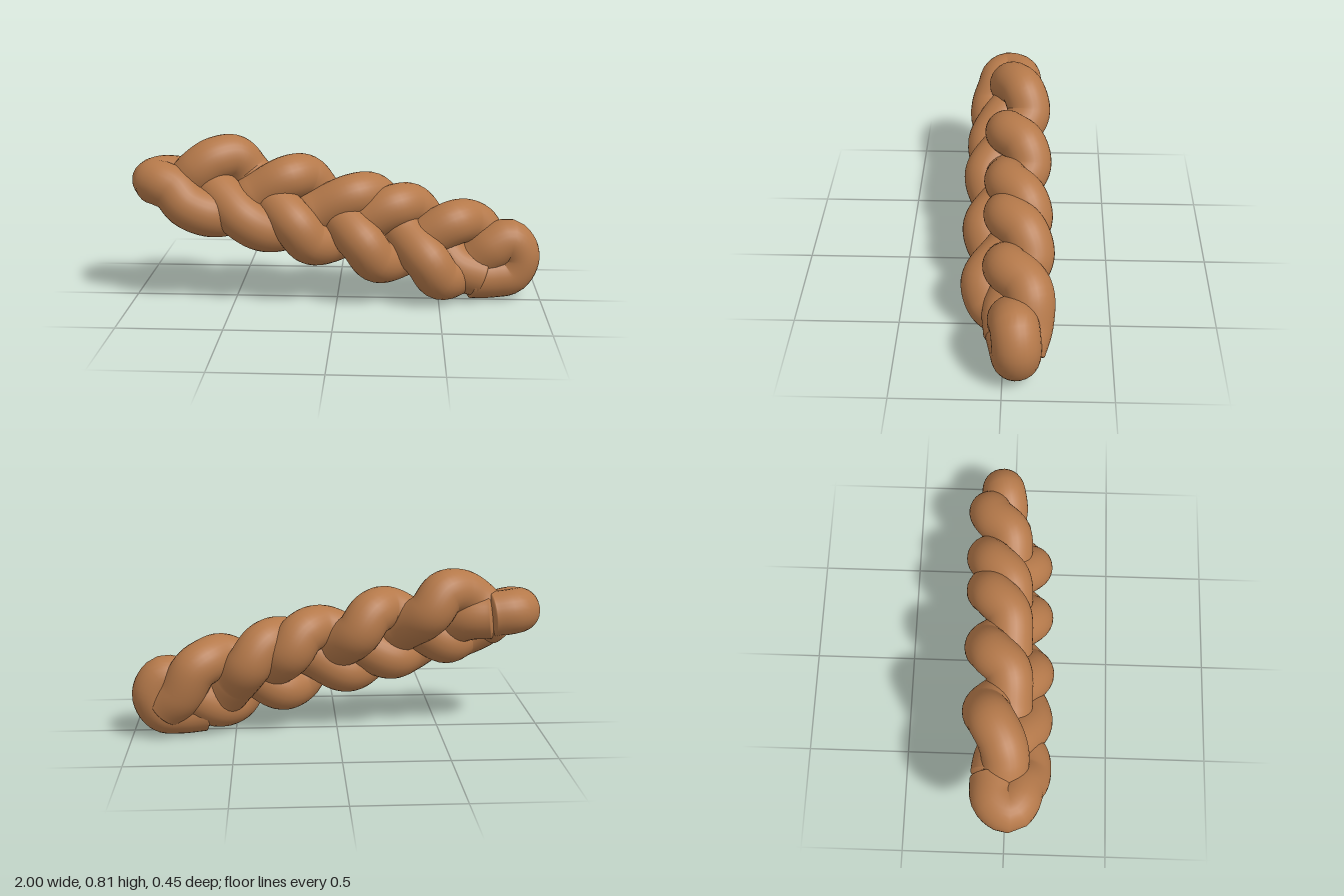
import * as THREE from 'three';

const RADIUS = 0.11;
const WIDTH = 0.16;   // sideways swing of a strand
const DEPTH = 0.056;  // over-and-under swing of a strand
const TILT = Math.PI / 6;

// Point in the sloping, tilted cross-section of the braid
function braidPoint(x, w, d) {
  const c = Math.cos(TILT), s = Math.sin(TILT);
  return new THREE.Vector3(x, 0.41 - 0.275 * x + c * w + s * d, -s * w + c * d - 0.022 * x);
}

// Weave through alternating crests (+1) and troughs (-1) at the given x positions;
// each half turn leaves on the back and arrives on the front, rolling steeply over the edge
function weave(turns, firstSide) {
  const points = [];
  let side = firstSide;
  turns.forEach((x, i) => {
    points.push(braidPoint(x, side * WIDTH, 0));
    if (i < turns.length - 1) {
      for (const [along, w, d] of [[0.19, 0.7, -1], [0.5, 0, 0], [0.82, -0.7, 1]]) {
        points.push(braidPoint(THREE.MathUtils.lerp(x, turns[i + 1], along), side * WIDTH * w, DEPTH * d));
      }
    }
    side = -side;
  });
  return points;
}

const toVectors = (list) => list.map((p) => new THREE.Vector3(...p));

export function createModel() {
  const group = new THREE.Group();
  group.name = 'braidedLoaf';
  const crust = new THREE.MeshStandardMaterial({ color: 0xb5794a });
  crust.name = 'brown crust';

  const strands = [
    {
      name: 'firstStrand',
      start: [[-0.81, 0.52, 0], [-0.75, 0.56, -0.01], [-0.67, 0.64, 0], [-0.6, 0.685, -0.02]],
      turns: [-0.51, -0.13, 0.36], side: 1,
      end: [[0.43, 0.36, -0.12], [0.5, 0.26, -0.06], [0.58, 0.165, -0.01], [0.7, 0.12, -0.02]],
    },
    {
      // curls around the upper end
      name: 'secondStrand',
      start: [[-0.75, 0.58, -0.05], [-0.85, 0.59, -0.04], [-0.89, 0.585, 0.02], [-0.85, 0.58, 0.055], [-0.79, 0.555, 0.07], [-0.72, 0.485, 0.1]],
      turns: [-0.62, -0.16, 0.19, 0.64], side: -1,
      end: [[0.69, 0.34, -0.12], [0.76, 0.22, -0.115], [0.83, 0.15, -0.085]],
    },
    {
      // curls around the lower end
      name: 'thirdStrand',
      start: [[-0.74, 0.57, -0.05], [-0.64, 0.56, -0.03], [-0.54, 0.5, 0.05], [-0.45, 0.425, 0.105]],
      turns: [-0.36, 0.17, 0.5], side: -1,
      end: [[0.58, 0.13, -0.01], [0.67, 0.18, -0.05], [0.76, 0.255, -0.04], [0.84, 0.285, -0.055],
        [0.888, 0.21, -0.065], [0.85, 0.125, -0.06], [0.77, 0.111, -0.045], [0.655, 0.113, -0.02]],
    },
  ];

  for (const s of strands) {
    const points = [...toVectors(s.start), ...weave(s.turns, s.side), ...toVectors(s.end)];
    const curve = new THREE.CatmullRomCurve3(points, false, 'centripetal');
    const strand = new THREE.Group();
    strand.name = s.name;

    const rope = new THREE.Mesh(new THREE.TubeGeometry(curve, 160, RADIUS, 28), crust);
    rope.name = 'rope';
    strand.add(rope);

    // Rounded tips, flattened along the strand
    for (const t of [0, 1]) {
      const tip = new THREE.Mesh(new THREE.SphereGeometry(RADIUS, 28, 16), crust);
      tip.name = 'tip';
      tip.scale.z = 0.2;
      tip.position.copy(curve.getPointAt(t));
      tip.quaternion.setFromUnitVectors(new THREE.Vector3(0, 0, 1), curve.getTangentAt(t));
      strand.add(tip);
    }
    group.add(strand);
  }
  return group;
}
